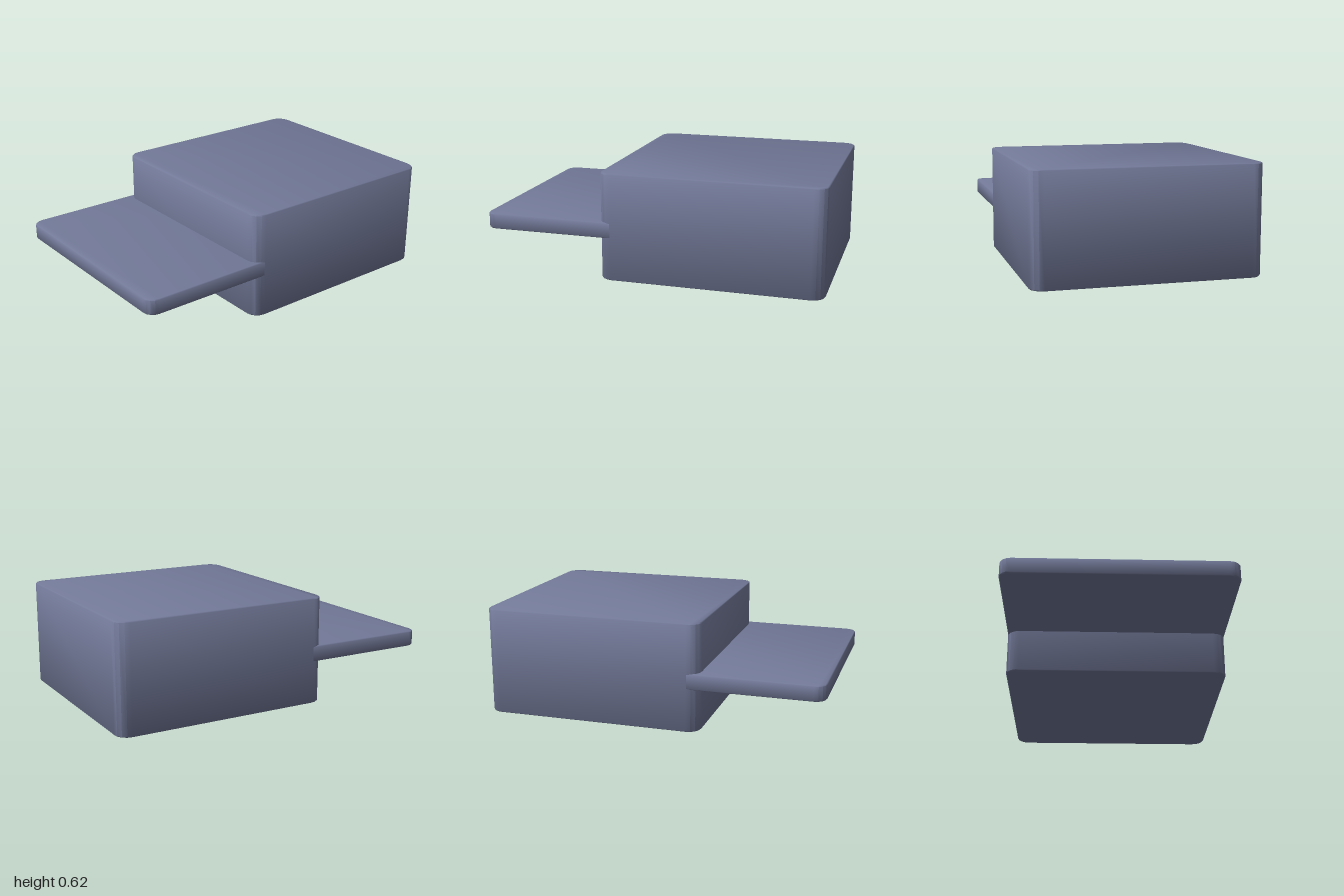
import * as THREE from 'three';
import { toCreasedNormals } from 'three/addons/utils/BufferGeometryUtils.js';

const BEVEL = 0.005;

// Upright plate with rounded plan corners and a fine bevel on its rims
function roundedPlate(x0, x1, halfDepth, y0, y1, radius) {
  const l = x0 + BEVEL, r = x1 - BEVEL, d = halfDepth - BEVEL, c = radius;
  const shape = new THREE.Shape();
  shape.absarc(r - c, d - c, c, 0, Math.PI / 2);
  shape.absarc(l + c, d - c, c, Math.PI / 2, Math.PI);
  shape.absarc(l + c, -d + c, c, Math.PI, Math.PI * 1.5);
  shape.absarc(r - c, -d + c, c, Math.PI * 1.5, Math.PI * 2);
  shape.closePath();
  const geometry = new THREE.ExtrudeGeometry(shape, {
    depth: y1 - y0 - 2 * BEVEL,
    curveSegments: 2,
    bevelThickness: BEVEL,
    bevelSize: BEVEL,
    bevelSegments: 1,
  });
  geometry.rotateX(-Math.PI / 2);
  geometry.translate(0, y0 + BEVEL, 0);
  return toCreasedNormals(geometry, 0.85);
}

export function createModel() {
  const group = new THREE.Group();
  const material = new THREE.MeshStandardMaterial({ color: 0x737a99 });

  // Thick block on the model's left
  const block = new THREE.Mesh(roundedPlate(-0.295, 1, 0.645, 0, 0.625, 0.07), material);
  block.name = 'block';

  // Thin shelf passing through the block and sticking out to the right
  const shelf = new THREE.Mesh(roundedPlate(-1, 0.98, 0.644, 0.25, 0.34, 0.06), material);
  shelf.name = 'shelf';

  group.add(block, shelf);
  return group;
}
